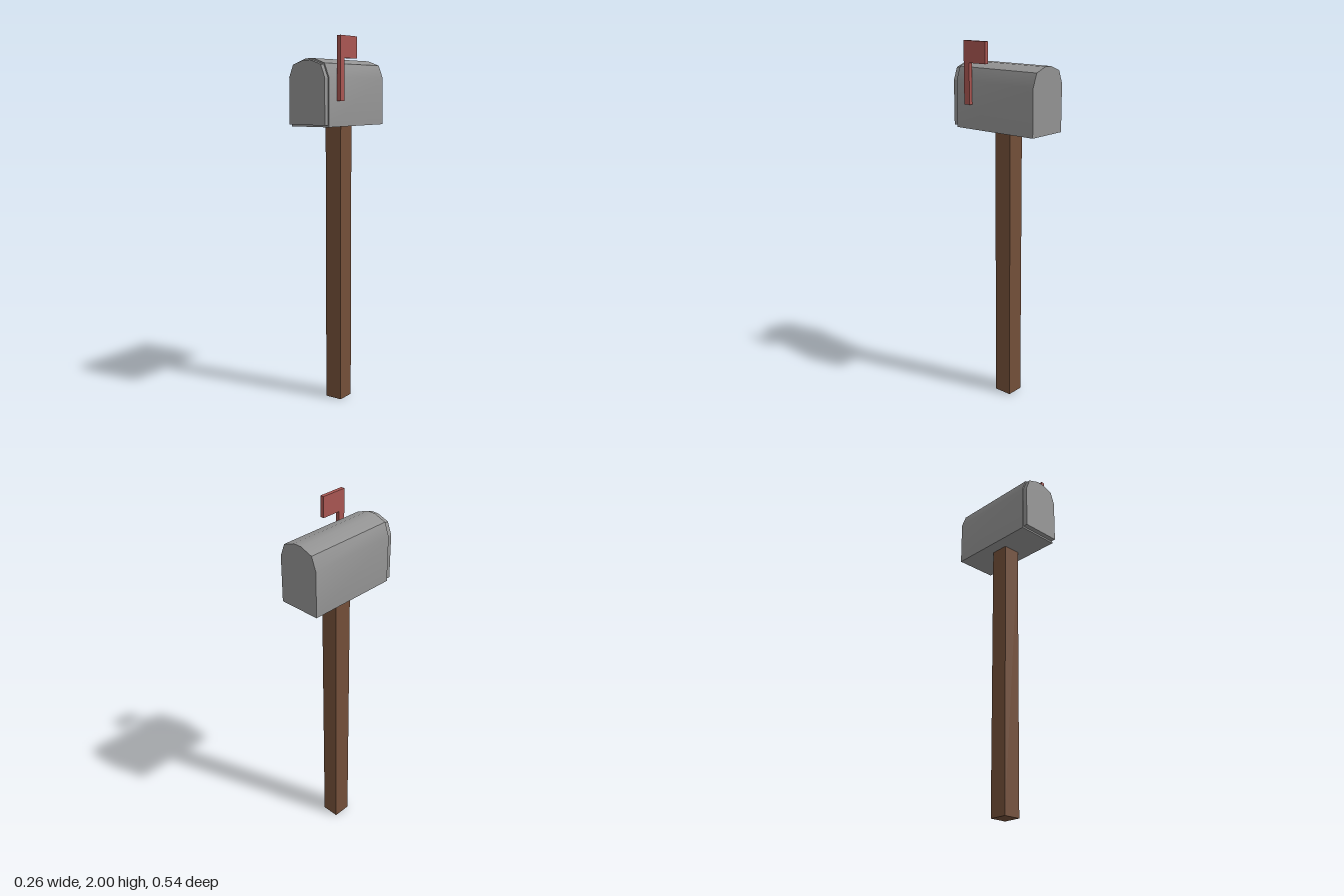
import * as THREE from 'three';
import { toCreasedNormals } from 'three/addons/utils/BufferGeometryUtils.js';

const CENTER_X = -0.0115; // post and box sit left of centre, the flag balances them

export function createModel() {
  const model = new THREE.Group();
  model.name = 'mailbox';
  const metal = new THREE.MeshStandardMaterial({ color: 0x939393 });
  const wood = new THREE.MeshStandardMaterial({ color: 0x734f39 });
  const red = new THREE.MeshStandardMaterial({ color: 0xa95652 });

  const add = (name, geometry, material, x, y, z) => {
    const mesh = new THREE.Mesh(geometry, material);
    mesh.name = name;
    mesh.position.set(x, y, z);
    model.add(mesh);
    return mesh;
  };

  // Extruded outline; edges sharper than the crease angle stay hard
  const extrude = (points, depth, crease) => {
    const shape = new THREE.Shape(points.map(([x, y]) => new THREE.Vector2(x, y)));
    const geometry = new THREE.ExtrudeGeometry(shape, { depth, bevelEnabled: false });
    return toCreasedNormals(geometry, THREE.MathUtils.degToRad(crease));
  };

  // Arched section: right half from base to crown, mirrored to the left
  const arch = (half) => [...half, ...half.map(([x, y]) => [-x, y]).reverse()];

  // Post
  add('post', new THREE.BoxGeometry(0.099, 1.538, 0.102), wood, CENTER_X - 0.001, 0.769, -0.014);

  // Box body with smooth arched roof
  const bodyHalf = [[0.119, 1.538], [0.119, 1.79], [0.092, 1.86], [0.023, 1.885]];
  add('body', extrude(arch(bodyHalf), 0.517, 30), metal, CENTER_X, 0, -0.272);

  // Slightly smaller, faceted door on the front
  const doorHalf = [[0.1125, 1.548], [0.1125, 1.788], [0.0875, 1.853], [0.022, 1.876]];
  add('door', extrude(arch(doorHalf), 0.027, 10), metal, CENTER_X, 0, 0.245);

  // Signal flag: L-shaped plate, drawn in (-z, y) and turned to face sideways
  const flagOutline = [
    [-0.172, 1.67], [-0.135, 1.67], [-0.135, 1.887],
    [-0.023, 1.887], [-0.023, 2], [-0.172, 2],
  ];
  const flag = add('flag', extrude(flagOutline, 0.021, 30), red, 0.108, 0, 0);
  flag.rotation.y = Math.PI / 2;

  return model;
}
